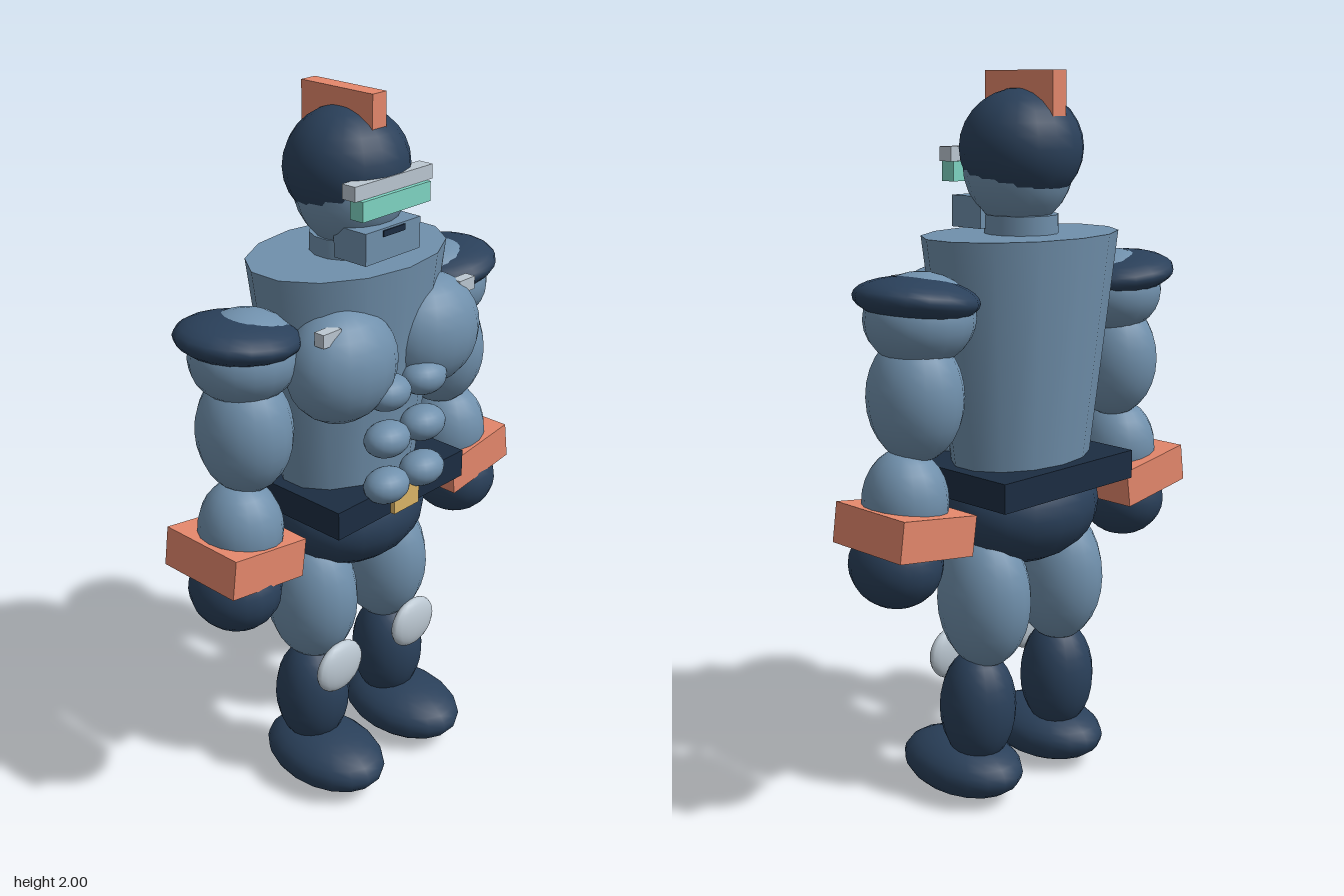
import * as THREE from 'three';

const mat = (color) => new THREE.MeshStandardMaterial({ color });

export function createModel() {
  const model = new THREE.Group();
  model.name = 'armouredFigure';

  const skin = mat(0x7090ac);
  const navy = mat(0x2a405a);
  const beltNavy = mat(0x1c2d42);
  const orange = mat(0xe5886c);
  const pale = mat(0xbcc8d2);
  const teal = mat(0x7fd6c4);
  const gold = mat(0xdcb668);

  const add = (name, geometry, material, [x, y, z], parent = model) => {
    const mesh = new THREE.Mesh(geometry, material);
    mesh.name = name;
    mesh.position.set(x, y, z);
    parent.add(mesh);
    return mesh;
  };
  const ball = (name, material, pos, radii, parent) => {
    const mesh = add(name, new THREE.SphereGeometry(1, 18, 14), material, pos, parent);
    mesh.scale.set(...radii);
    return mesh;
  };
  const box = (name, material, pos, size, parent) =>
    add(name, new THREE.BoxGeometry(...size), material, pos, parent);

  // Torso: tapered oval drum
  const torso = add('torso', new THREE.CylinderGeometry(0.305, 0.212, 0.68, 14), skin, [0, 1.24, -0.025]);
  torso.scale.z = 0.715;
  torso.rotation.y = 0;

  // Hips and belt
  ball('pelvis', navy, [0, 0.83, -0.024], [0.237, 0.16, 0.2]);
  box('belt', beltNavy, [0, 0.929, -0.016], [0.505, 0.08, 0.395]);
  box('buckle', gold, [0, 0.929, 0.18], [0.1, 0.078, 0.03]);

  // Head
  add('neck', new THREE.CylinderGeometry(0.1, 0.1, 0.08, 14), skin, [0, 1.59, -0.025]);
  ball('head', skin, [0, 1.76, -0.015], [0.152, 0.165, 0.145]);
  ball('helmet', navy, [0, 1.802, -0.026], [0.168, 0.155, 0.163]);
  box('crest', orange, [0, 1.935, -0.038], [0.05, 0.13, 0.245]);
  box('brow', pale, [0, 1.786, 0.115], [0.287, 0.038, 0.044]);
  box('visor', teal, [0, 1.74, 0.125], [0.252, 0.052, 0.044]);
  box('jaw', skin, [0, 1.635, 0.08], [0.205, 0.084, 0.11]);
  box('mouth', beltNavy, [0, 1.664, 0.132], [0.08, 0.016, 0.014]);

  // Paired parts: s = 1 is the model's left
  for (const s of [1, -1]) {
    const side = s > 0 ? 'left' : 'right';
    const group = (name) => {
      const g = new THREE.Group();
      g.name = side + name;
      model.add(g);
      return g;
    };

    // Chest and abdomen
    const chest = group('Chest');
    ball('pectoral', skin, [s * 0.165, 1.345, 0.11], [0.164, 0.156, 0.13], chest);
    [1.257, 1.122, 0.985].forEach((y) =>
      ball('abdominal', skin, [s * 0.071, y, 0.185], [0.07, 0.048, 0.056], chest));
    box('chestLight', pale, [s * 0.26, 1.457, 0.155], [0.062, 0.036, 0.032], chest);

    // Arm
    const arm = group('Arm');
    ball('deltoid', skin, [s * 0.37, 1.39, -0.028], [0.15, 0.12, 0.138], arm);
    const pad = ball('shoulderPad', navy, [s * 0.386, 1.442, -0.035], [0.164, 0.058, 0.16], arm);
    pad.rotation.z = s * 0.12;
    ball('upperArm', skin, [s * 0.385, 1.19, -0.023], [0.124, 0.17, 0.132], arm);
    ball('forearm', skin, [s * 0.418, 0.92, -0.015], [0.113, 0.14, 0.115], arm);
    const bracer = box('bracer', orange, [s * 0.431, 0.85, -0.025], [0.25, 0.108, 0.265], arm);
    bracer.rotation.z = s * 0.145;
    ball('fist', navy, [s * 0.45, 0.757, -0.01], [0.121, 0.117, 0.13], arm);

    // Leg
    const leg = group('Leg');
    ball('thigh', skin, [s * 0.148, 0.59, -0.027], [0.122, 0.2, 0.14], leg);
    ball('kneePad', pale, [s * 0.157, 0.4, 0.09], [0.087, 0.077, 0.029], leg);
    ball('shin', navy, [s * 0.162, 0.27, -0.015], [0.108, 0.168, 0.108], leg);
    ball('foot', navy, [s * 0.169, 0.084, 0.042], [0.137, 0.084, 0.2], leg);
  }

  return model;
}
